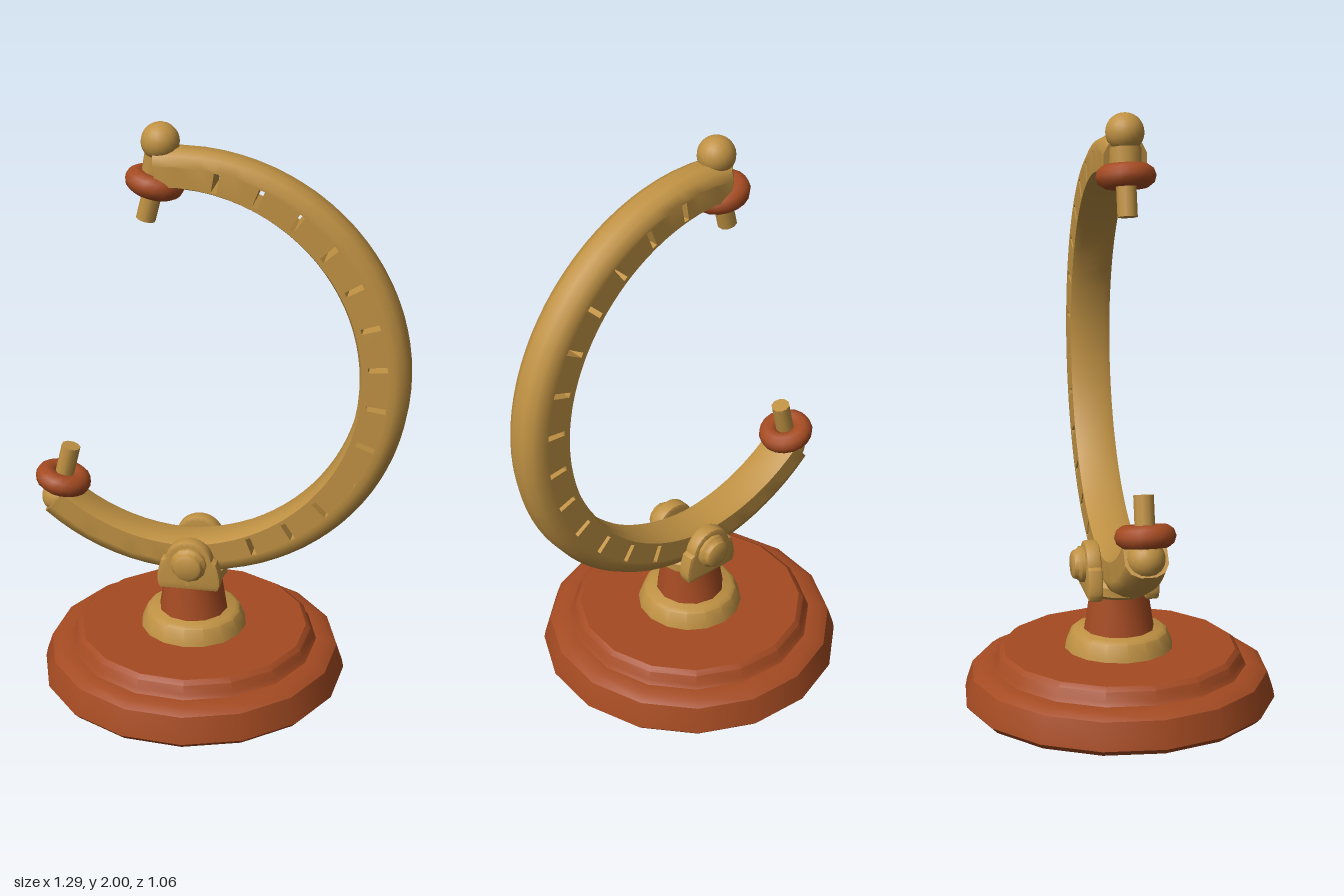
import * as THREE from 'three';
import { toCreasedNormals } from 'three/addons/utils/BufferGeometryUtils.js';

const RAD = Math.PI / 180;
const gold = new THREE.MeshStandardMaterial({ color: 0xbf9143 });
gold.name = 'aged gold';
const wood = new THREE.MeshStandardMaterial({ color: 0xa54b22 });
wood.name = 'red wood';

const BASE_X = -0.09, ARC_X = -0.115, ARC_Y = 1.165;

function part(parent, name, geometry, material, x = 0, y = 0, z = 0) {
  const mesh = new THREE.Mesh(geometry, material);
  mesh.name = name;
  mesh.position.set(x, y, z);
  parent.add(mesh);
  return mesh;
}

function lathe(points, sides, crease = 0.6) {
  const g = new THREE.LatheGeometry(points.map(([r, y]) => new THREE.Vector2(r, y)), sides);
  return toCreasedNormals(g, crease);
}

// Tapering C-shaped arc, with radial slots cut right through it
function arcGeometry() {
  const angles = [], slots = new Set();
  for (let i = 0; i < 14; i++) angles.push(-131 + i * 4.4);
  for (let i = 0; i < 13; i++) {
    const a = -69 + i * 12.42;
    slots.add(angles.length);
    angles.push(a - 0.8, a + 0.8);
    if (i < 12) angles.push(a + 4.4, a + 8);
  }
  angles.push(85, 91, 97);

  const sections = angles.map((deg) => {
    const t = deg * RAD, c = Math.max(0, Math.cos(t));
    const outer = 0.757, inner = outer - 0.125 - 0.04 * c, mid = 0.676 - 0.02 * c;
    const half = [[inner, 0.045], [inner + 0.01, 0.07], [mid - 0.032, 0.07], [mid + 0.032, 0.07],
      [outer - 0.045, 0.07], [outer - 0.015, 0.055], [outer, 0.025]];
    const loop = [...half, ...half.map(([r, z]) => [r, -z]).reverse()];
    return loop.map(([r, z]) => [r * Math.cos(t), r * Math.sin(t), z]);
  });

  const pos = [];
  const tri = (a, b, c) => pos.push(...a, ...b, ...c);
  const quad = (a, b, c, d) => { tri(a, b, c); tri(a, c, d); };
  const n = 14;
  for (let j = 0; j < sections.length - 1; j++) {
    const p = sections[j], q = sections[j + 1], open = slots.has(j);
    for (let k = 0; k < n; k++) {
      if (open && (k === 2 || k === 10)) continue;
      const m = (k + 1) % n;
      quad(p[k], p[m], q[m], q[k]);
    }
    if (open) { // four walls of the slot
      quad(p[11], q[11], q[2], p[2]);
      quad(p[3], q[3], q[10], p[10]);
      quad(p[11], p[2], p[3], p[10]);
      quad(q[10], q[3], q[2], q[11]);
    }
  }
  const first = sections[0], last = sections[sections.length - 1];
  for (let k = 1; k < n - 1; k++) {
    tri(first[0], first[k + 1], first[k]);
    tri(last[0], last[k], last[k + 1]);
  }
  const g = new THREE.BufferGeometry();
  g.setAttribute('position', new THREE.Float32BufferAttribute(pos, 3));
  return toCreasedNormals(g, 0.7);
}

// Ring washer, pin and collar; local +y runs along the pin towards its tip
function pivot(name, x, y, angle, pinLength) {
  const group = new THREE.Group();
  group.name = name;
  group.position.set(x, y, 0);
  group.rotation.z = angle;
  const ring = part(group, 'washer', new THREE.TorusGeometry(0.06, 0.038, 10, 18), wood);
  ring.rotation.x = Math.PI / 2;
  part(group, 'pin', new THREE.CylinderGeometry(0.033, 0.033, pinLength + 0.04, 10), gold, 0, (pinLength - 0.04) / 2);
  part(group, 'pinCollar', new THREE.CylinderGeometry(0.05, 0.055, 0.07, 12), gold, 0, -0.055);
  return group;
}

// Bracket cheek with a rounded top and flared foot
function cheekGeometry() {
  const s = new THREE.Shape();
  s.moveTo(-0.095, -0.09);
  s.lineTo(0.095, -0.09);
  s.quadraticCurveTo(0.11, -0.07, 0.088, 0);
  s.absarc(0, 0, 0.073, 0.1, Math.PI - 0.1, false);
  s.lineTo(-0.088, 0);
  s.quadraticCurveTo(-0.11, -0.07, -0.095, -0.09);
  const g = new THREE.ExtrudeGeometry(s, { depth: 0.03, bevelThickness: 0.01, bevelSize: 0.01, bevelSegments: 2, curveSegments: 10 });
  g.translate(0, 0, -0.015);
  return toCreasedNormals(g, 0.6);
}

export function createModel() {
  const model = new THREE.Group();
  model.name = 'globeStand';

  // Stepped base and post
  const base = part(model, 'base', lathe([[0, 0], [0.515, 0], [0.534, 0.02], [0.528, 0.05], [0.508, 0.11],
    [0.48, 0.13], [0.435, 0.132], [0.425, 0.145], [0.415, 0.175], [0.398, 0.188], [0, 0.188]], 16), wood, BASE_X);
  base.rotation.y = 6.5 * RAD;
  part(model, 'baseCollar', lathe([[0.188, 0.18], [0.183, 0.2], [0.165, 0.243], [0.15, 0.253], [0, 0.253]], 16), gold, BASE_X);
  part(model, 'post', lathe([[0.122, 0.245], [0.1, 0.385], [0, 0.385]], 12), wood, BASE_X);

  // Forked bracket with a bolt on each side
  const foot = part(model, 'bracketFoot', lathe([[0, 0.38], [0.1, 0.38], [0.12, 0.395], [0.12, 0.425], [0.105, 0.44], [0, 0.44]], 16), gold, BASE_X);
  foot.scale.z = 1.02;
  for (const side of [1, -1]) {
    part(model, 'bracketCheek', cheekGeometry(), gold, BASE_X + 0.005, 0.478, side * 0.096);
    const bolt = part(model, 'bolt', lathe([[0.062, 0], [0.062, 0.025], [0.052, 0.035], [0.048, 0.048], [0.038, 0.054], [0, 0.054]], 12), gold, BASE_X + 0.008, 0.48, side * 0.108);
    bolt.rotation.x = side * Math.PI / 2;
  }

  // Meridian arc with its rounded ends
  part(model, 'meridianArc', arcGeometry(), gold, ARC_X, ARC_Y, 0);
  const tip = part(model, 'lowerArcEnd', new THREE.SphereGeometry(0.062, 16, 12), gold, -0.565, 0.64);
  tip.rotation.z = 49 * RAD;
  part(model, 'topBall', new THREE.SphereGeometry(0.063, 20, 14), gold, -0.19, 1.937);

  // Tilted pivots facing each other
  model.add(pivot('upperPivot', -0.21, 1.8, Math.PI - 14 * RAD, 0.13));
  model.add(pivot('lowerPivot', -0.55, 0.71, -14 * RAD, 0.13));
  return model;
}
